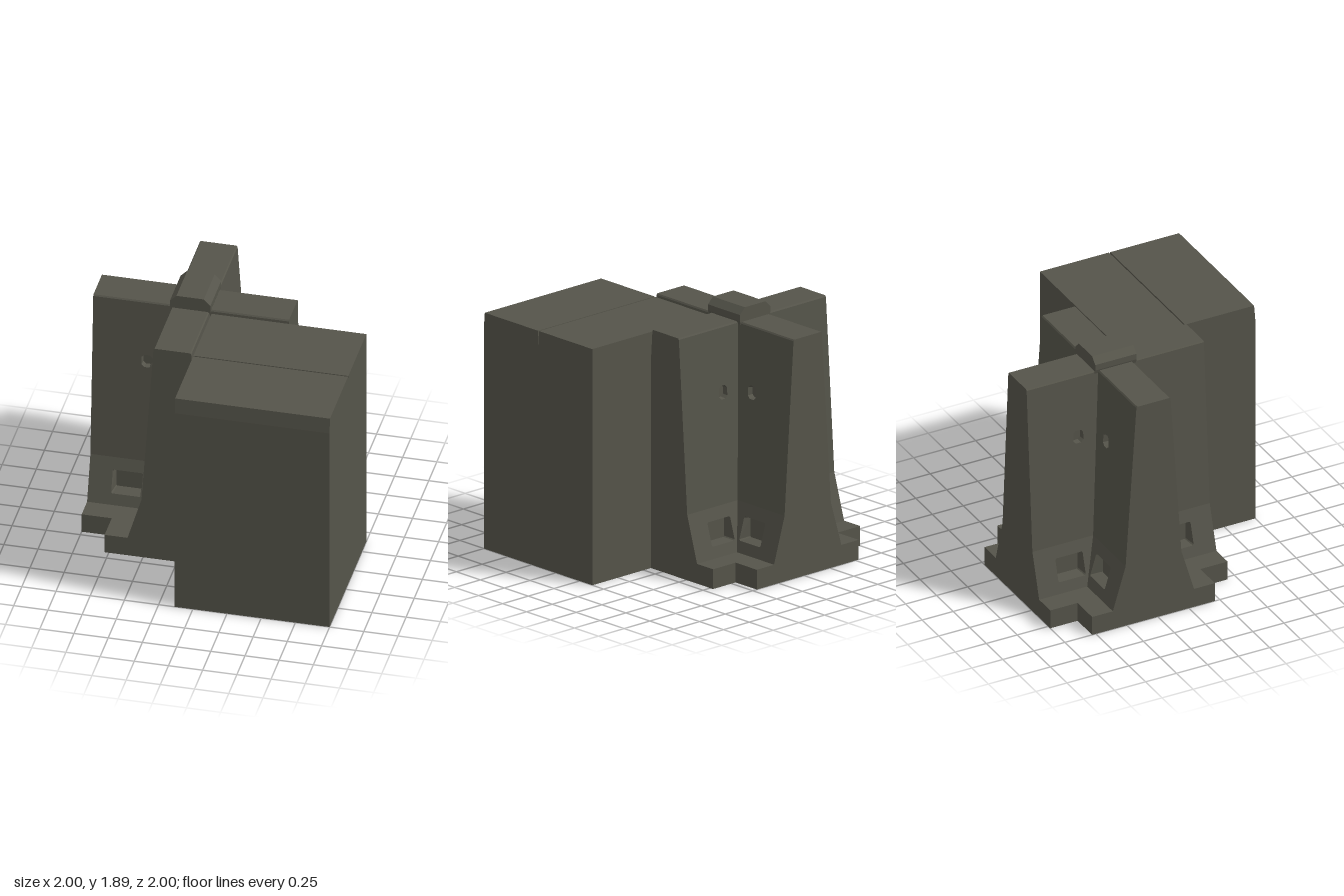
import * as THREE from 'three';

const concrete = new THREE.MeshStandardMaterial({ color: 0x55544a, side: THREE.DoubleSide });
concrete.name = 'grey concrete';

const C = -0.285;      // centre of the crossing walls in x and z
const L = 0.715;       // half length of each wall
const BASE = 0.495;    // half width of the footing
const FOOT = 0.148;    // footing height

// Half width of a wall at given heights
const PROFILE = [[0, 0.372], [0.49, 0.225], [1.78, 0.138], [1.79, 0.13]];
function halfWidth(y) {
  for (let i = 1; i < PROFILE.length; i++) {
    const [y0, w0] = PROFILE[i - 1], [y1, w1] = PROFILE[i];
    if (y <= y1 + 1e-6) return w0 + (w1 - w0) * (y - y0) / (y1 - y0);
  }
  return PROFILE[3][1];
}

function add(parent, name, geometry, x = 0, y = 0, z = 0) {
  const m = new THREE.Mesh(geometry, concrete);
  m.name = name;
  m.position.set(x, y, z);
  parent.add(m);
  return m;
}

const polygon = (pts) => new THREE.Shape(pts.map(([x, y]) => new THREE.Vector2(x, y)));

// Rectangle with cut corners
function opening(x, y, w, h, c) {
  const a = w / 2, b = h / 2;
  return [[-a + c, -b], [a - c, -b], [a, -b + c], [a, b - c], [a - c, b], [-a + c, b], [-a, b - c], [-a, -b + c]]
    .map(([u, v]) => [x + u, y + v]);
}

// Recess behind an opening: a ring of side walls and a back plate
function addPocket(parent, name, pts, depth) {
  const pos = [], index = [], n = pts.length;
  const cx = pts.reduce((s, p) => s + p[0], 0) / n, cy = pts.reduce((s, p) => s + p[1], 0) / n;
  for (const [x, y] of pts) {
    const bx = cx + (x - cx) * 0.86, by = cy + (y - cy) * 0.9;
    pos.push(x, y, halfWidth(y), bx, by, halfWidth(cy) - depth);
  }
  pos.push(cx, cy, halfWidth(cy) - depth);
  for (let i = 0; i < n; i++) {
    const a = 2 * i, b = 2 * ((i + 1) % n);
    index.push(a, a + 1, b, b, a + 1, b + 1, a + 1, 2 * n, b + 1);
  }
  const g = new THREE.BufferGeometry();
  g.setAttribute('position', new THREE.Float32BufferAttribute(pos, 3));
  g.setIndex(index);
  const flat = g.toNonIndexed();
  flat.computeVertexNormals();
  add(parent, name, flat);
}

// One sloped wall face with its pockets
function wallSide() {
  const side = new THREE.Group();
  side.name = 'wallSide';
  const holes = [[], [], []];
  for (const s of [-1, 1]) {
    holes[0].push(opening(s * 0.435, 0.315, 0.22, 0.17, 0.008));
    holes[1].push(opening(s * 0.315, 1.305, 0.08, 0.1, 0.02));
  }
  for (let i = 0; i < 3; i++) {
    const y0 = PROFILE[i][0], y1 = PROFILE[i + 1][0];
    const shape = polygon([[-L, y0], [L, y0], [L, y1], [-L, y1]]);
    shape.holes = holes[i].map((h) => new THREE.Path(h.map(([x, y]) => new THREE.Vector2(x, y))));
    const g = new THREE.ShapeGeometry(shape), p = g.attributes.position;
    for (let k = 0; k < p.count; k++) p.setZ(k, halfWidth(p.getY(k)));
    g.computeVertexNormals();
    add(side, 'wallFace', g);
    for (const h of holes[i]) addPocket(side, i ? 'liftingHole' : 'forkPocket', h, i ? 0.04 : 0.07);
  }
  return side;
}

// Complete wall, running along x
function wall(name) {
  const group = new THREE.Group();
  group.name = name;
  const outline = [...PROFILE.map(([y, w]) => [w, y]), ...PROFILE.map(([y, w]) => [-w, y]).reverse()];
  for (const s of [0, 1]) {
    const side = wallSide();
    side.rotation.y = s * Math.PI;
    group.add(side);
    const end = add(group, 'wallEnd', new THREE.ShapeGeometry(polygon(outline)), s ? -L : L);
    end.rotation.y = s ? -Math.PI / 2 : Math.PI / 2;
  }
  const top = add(group, 'wallTop', new THREE.PlaneGeometry(2 * L, 2 * PROFILE[3][1]), 0, 1.79, 0);
  top.rotation.x = -Math.PI / 2;
  return group;
}

// Cross-shaped footing plate over an open grid of ribs
function footing() {
  const group = new THREE.Group();
  group.name = 'footing';
  const a = L, b = BASE;
  const plate = add(group, 'footingPlate', new THREE.ShapeGeometry(polygon([
    [-b, -a], [b, -a], [b, -b], [a, -b], [a, b], [b, b], [b, a], [-b, a], [-b, b], [-a, b], [-a, -b], [-b, -b],
  ])), 0, FOOT, 0);
  plate.rotation.x = -Math.PI / 2;
  const t = 0.008;
  for (const c of [-L, -BASE, -BASE / 2, 0, BASE / 2, BASE, L]) {
    const len = 2 * (Math.abs(c) === L ? BASE : L);
    const at = c - Math.sign(c) * t / 2;
    add(group, 'footingRib', new THREE.BoxGeometry(t, FOOT, len), at, FOOT / 2, 0);
    add(group, 'footingRib', new THREE.BoxGeometry(len, FOOT, t), 0, FOOT / 2, at);
  }
  return group;
}

// Shape in one plane extruded to a centred depth
function prism(pts, depth) {
  const g = new THREE.ExtrudeGeometry(polygon(pts), { depth, bevelEnabled: false });
  return g.translate(0, 0, -depth / 2);
}

export function createModel() {
  const model = new THREE.Group();
  model.name = 'crossBarrier';

  const cross = new THREE.Group();
  cross.name = 'crossWalls';
  cross.position.set(C, 0, C);
  const second = wall('lengthwiseWall');
  second.rotation.y = Math.PI / 2;
  cross.add(wall('crosswiseWall'), second, footing());

  // Chamfered cap over the crossing
  add(cross, 'cap', prism([
    [-0.14, 1.77], [0.14, 1.77], [0.148, 1.8], [0.148, 1.845], [0.1, 1.893], [-0.1, 1.893], [-0.148, 1.845], [-0.148, 1.8],
  ], 0.333));
  model.add(cross);

  // Two large blocks side by side, the front edges leaning in near the top
  for (const [name, z0, z1] of [['rearBlock', -0.132, 0.434], ['frontBlock', 0.434, 1]]) {
    const g = prism([[-z1, 0], [-z0, 0], [-z0, 1.77], [-z1 + 0.01, 1.77], [-z1, 1.65]], 1.132);
    add(model, name, g.rotateY(Math.PI / 2), 0.434, 0, 0);
  }
  return model;
}
